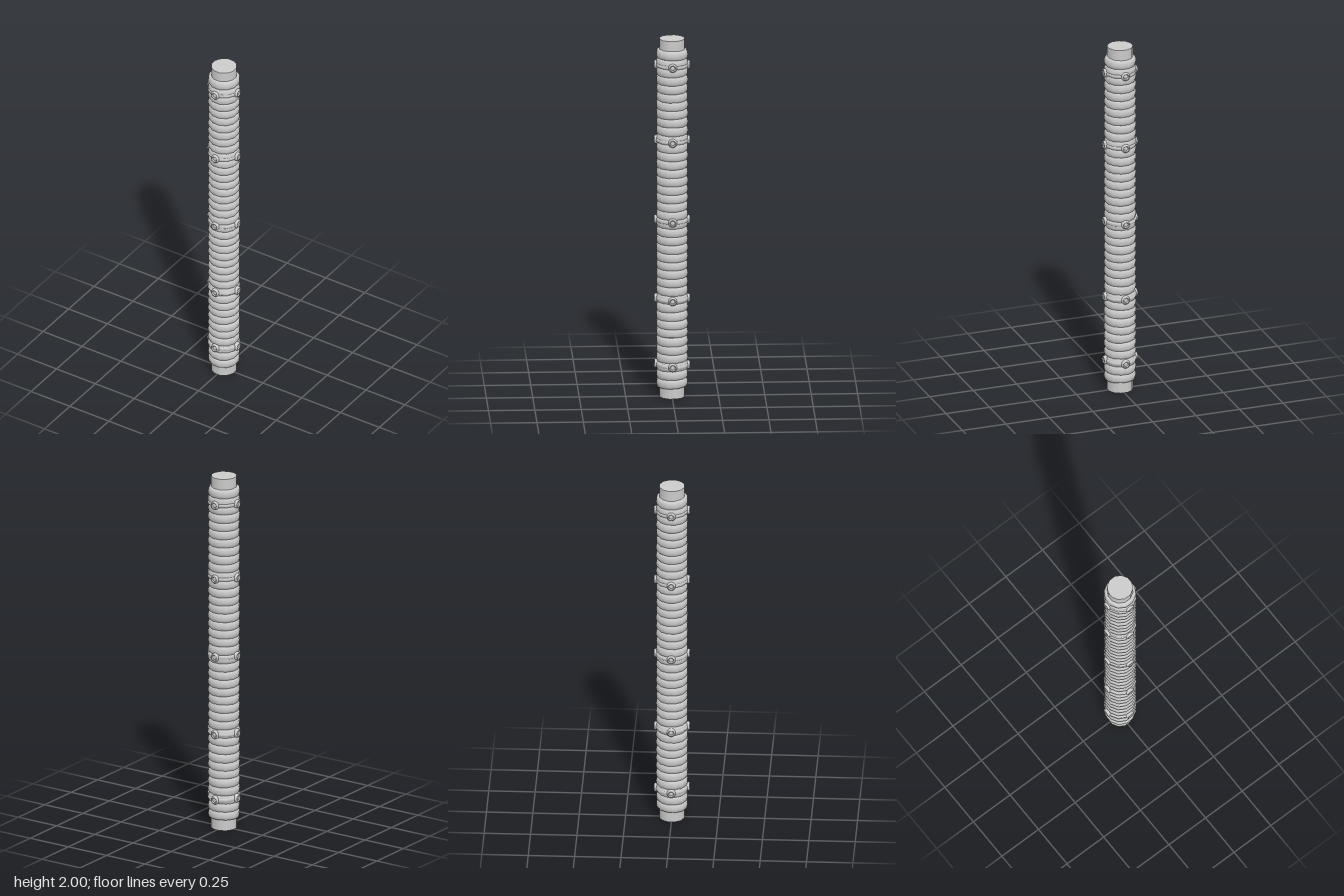
import * as THREE from 'three';

const SIDES = 12;
const material = new THREE.MeshStandardMaterial({ color: 0xcccccc });

function add(parent, name, geometry) {
  const mesh = new THREE.Mesh(geometry, material);
  mesh.name = name;
  parent.add(mesh);
  return mesh;
}

// Faceted band with a rounded outer face, centred on y = 0
function bandGeometry(halfHeight, outer, bulge) {
  const points = [new THREE.Vector2(0.062, -halfHeight)];
  for (let i = 0; i <= 8; i++) {
    const a = -Math.PI / 2 + (i / 8) * Math.PI;
    points.push(new THREE.Vector2(outer - bulge + bulge * Math.cos(a), halfHeight * Math.sin(a)));
  }
  points.push(new THREE.Vector2(0.062, halfHeight));
  return new THREE.LatheGeometry(points, SIDES, Math.PI / SIDES);
}

export function createModel() {
  const model = new THREE.Group();
  model.name = 'wrappedHandle';
  let seed = 7;
  const random = () => (seed = (seed * 16807) % 2147483647) / 2147483647;

  // Straight core showing at both ends
  add(model, 'core', new THREE.CylinderGeometry(0.07, 0.07, 2, SIDES, 1, false, Math.PI / SIDES))
    .position.y = 1;

  // Stacked wrapping, a little more uneven toward the bottom
  const wrapping = new THREE.Group();
  wrapping.name = 'wrapping';
  model.add(wrapping);
  const count = 40, bottom = 0.06, top = 1.94;
  const pitch = (top - bottom) / count;
  for (let i = 0; i < count; i++) {
    const band = add(wrapping, 'wrapBand', bandGeometry(pitch * 0.54, 0.0865 + 0.0015 * random(), 0.0125));
    const tilt = i < 12 ? 0.1 : 0.05;
    band.position.y = bottom + pitch * (i + 0.5);
    band.rotation.set((random() - 0.5) * tilt, 0, (random() - 0.5) * tilt);
  }

  // Narrow straps, each with four studs
  const strapShape = bandGeometry(0.012, 0.0895, 0.008);
  const studProfile = [[0, 0.006], [0.008, 0.006], [0.01, 0.003], [0.013, 0.003], [0.015, 0.009],
    [0.018, 0.009], [0.022, 0.006], [0.024, 0], [0.024, -0.012]].map(([r, y]) => new THREE.Vector2(r, y));
  const studShape = new THREE.LatheGeometry(studProfile.reverse(), 16);
  studShape.rotateX(Math.PI / 2);
  for (const y of [0.18, 0.55, 0.99, 1.435, 1.855]) {
    const ring = new THREE.Group();
    ring.name = 'studdedStrap';
    ring.position.y = y;
    ring.rotation.x = y < 0.3 ? -0.06 : -0.02;
    model.add(ring);
    add(ring, 'strap', strapShape);
    for (let k = 0; k < 4; k++) {
      const angle = (k * Math.PI) / 2;
      const stud = add(ring, 'stud', studShape);
      stud.position.set(Math.sin(angle) * 0.0875, 0, Math.cos(angle) * 0.0875);
      stud.rotation.y = angle;
    }
  }
  return model;
}
